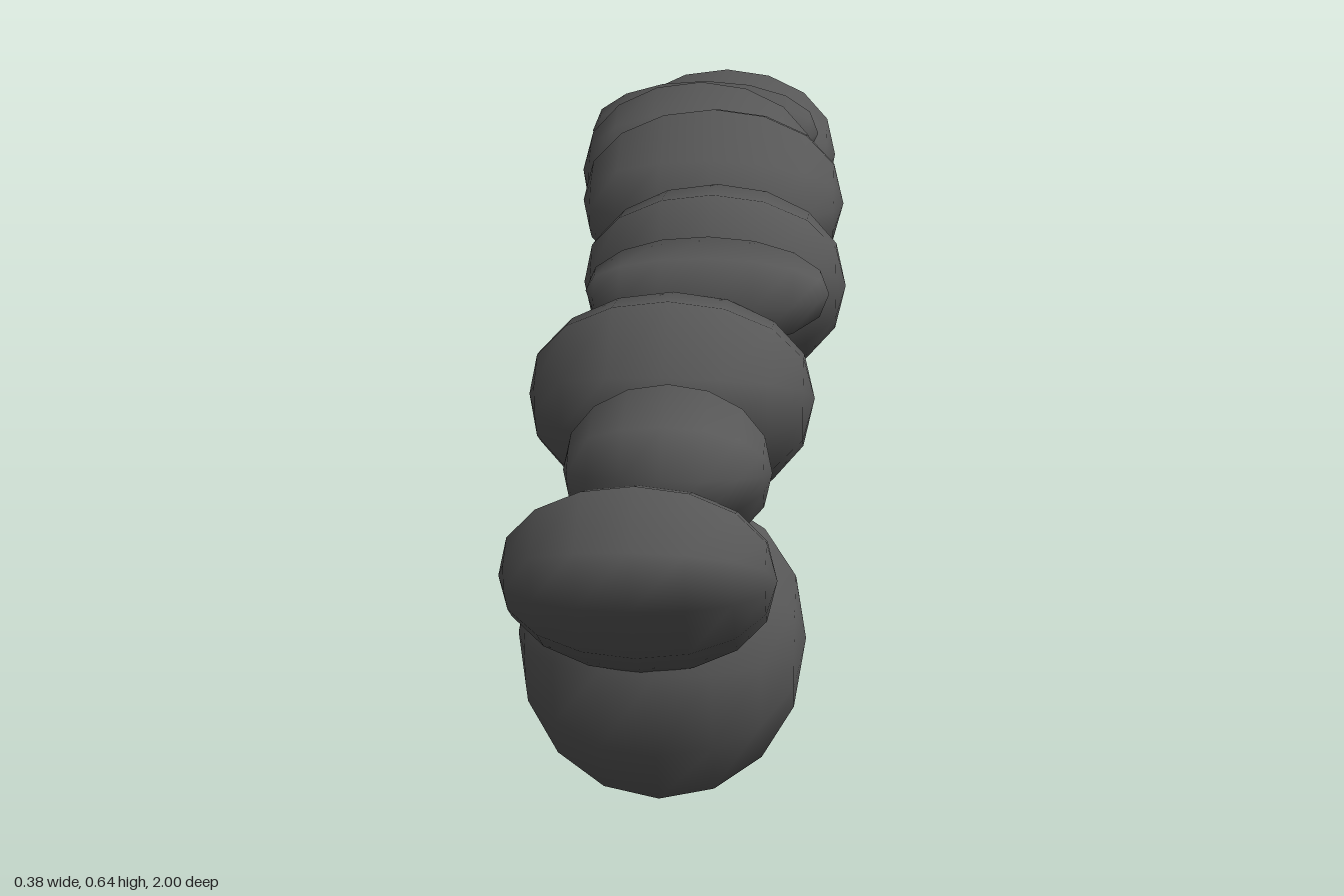
import * as THREE from 'three';
import { mergeVertices } from 'three/addons/utils/BufferGeometryUtils.js';

const SLICES = 8;

// A worn boulder: its side outline, as [z, y] points, swells from a point at
// x[0] to full size halfway and shrinks back to a point at x[1].
function boulder(x, outline) {
  const ring = outline.map(([z, y]) => new THREE.Vector2(z, y));
  if (THREE.ShapeUtils.area(ring) > 0) ring.reverse();
  const n = ring.length;
  const centre = new THREE.Vector2();
  ring.forEach((p) => centre.addScaledVector(p, 1 / n));

  const positions = [], index = [];
  for (let i = 0; i <= SLICES; i++) {
    const phi = (i / SLICES) * Math.PI;
    const size = Math.max(0, Math.sin(phi)) ** 0.9;
    const px = (x[0] + x[1]) / 2 - Math.cos(phi) * (x[1] - x[0]) / 2;
    for (let j = 0; j < n; j++) {
      const p = centre.clone().lerp(ring[j], size);
      positions.push(px, p.y, p.x);
      if (i === SLICES) continue;
      const a = i * n + j, b = i * n + (j + 1) % n;
      if (i > 0) index.push(a, b, a + n);
      if (i < SLICES - 1) index.push(b, b + n, a + n);
    }
  }
  let geo = new THREE.BufferGeometry();
  geo.setAttribute('position', new THREE.Float32BufferAttribute(positions, 3));
  geo.setIndex(index);
  geo = mergeVertices(geo, 1e-4);
  geo.computeVertexNormals();
  return geo;
}

export function createModel() {
  const group = new THREE.Group();
  group.name = 'rockArch';
  const stone = new THREE.MeshStandardMaterial({ color: 0x575757 });
  stone.name = 'darkStone';

  const addRock = (name, x, outline) => {
    const mesh = new THREE.Mesh(boulder(x, outline), stone);
    mesh.name = name;
    group.add(mesh);
  };

  // front leg of the arch
  addRock('frontFootRock', [-0.19, 0.15],
    [[0.66, 0.35], [0.58, 0.31], [0.55, 0.25], [0.6, 0.12], [0.69, 0.01], [0.77, 0], [0.82, 0.08], [0.84, 0.19], [0.77, 0.29]]);
  addRock('frontEndRock', [-0.19, 0.12],
    [[1, 0.41], [0.91, 0.45], [0.83, 0.42], [0.74, 0.33], [0.76, 0.22], [0.83, 0.19], [0.92, 0.25], [1, 0.34]]);
  addRock('frontShoulderRock', [-0.13, 0.11],
    [[0.87, 0.44], [0.82, 0.485], [0.72, 0.5], [0.63, 0.45], [0.6, 0.35], [0.66, 0.29], [0.76, 0.31], [0.84, 0.38]]);
  addRock('frontHaunchRock', [-0.19, 0.155],
    [[0.7, 0.5], [0.6, 0.56], [0.5, 0.54], [0.38, 0.46], [0.355, 0.4], [0.42, 0.295], [0.54, 0.275], [0.64, 0.33], [0.7, 0.42]]);
  addRock('frontWedgeRock', [-0.13, 0.17],
    [[0.51, 0.52], [0.46, 0.57], [0.4, 0.58], [0.365, 0.52], [0.39, 0.46], [0.47, 0.46]]);

  // crown
  addRock('frontCrownRock', [-0.15, 0.19],
    [[0.38, 0.54], [0.3, 0.605], [0.16, 0.58], [0.08, 0.52], [0.08, 0.42], [0.16, 0.35], [0.25, 0.335], [0.33, 0.39], [0.375, 0.46]]);
  addRock('keyRock', [-0.17, 0.185],
    [[0.17, 0.53], [0.12, 0.6], [0, 0.64], [-0.1, 0.615], [-0.14, 0.55], [-0.125, 0.43], [-0.02, 0.4], [0.1, 0.415], [0.165, 0.46]]);
  addRock('backCrownRock', [-0.195, 0.145],
    [[-0.12, 0.54], [-0.2, 0.585], [-0.3, 0.605], [-0.38, 0.575], [-0.4, 0.5], [-0.35, 0.4], [-0.24, 0.335], [-0.15, 0.37], [-0.1, 0.45]]);

  // back leg of the arch
  addRock('backWedgeRock', [-0.195, 0.145],
    [[-0.335, 0.5], [-0.37, 0.56], [-0.43, 0.575], [-0.5, 0.52], [-0.475, 0.47], [-0.41, 0.435], [-0.35, 0.45]]);
  addRock('backHaunchRock', [-0.17, 0.17],
    [[-0.345, 0.41], [-0.42, 0.5], [-0.5, 0.535], [-0.59, 0.555], [-0.68, 0.52], [-0.7, 0.45], [-0.66, 0.35], [-0.58, 0.28], [-0.45, 0.29]]);
  addRock('backShoulderRock', [-0.17, 0.145],
    [[-0.62, 0.42], [-0.66, 0.49], [-0.76, 0.51], [-0.85, 0.46], [-0.87, 0.4], [-0.8, 0.31], [-0.7, 0.28], [-0.64, 0.32]]);
  addRock('backEndRock', [-0.155, 0.155],
    [[-1, 0.41], [-0.93, 0.445], [-0.85, 0.415], [-0.76, 0.32], [-0.75, 0.24], [-0.82, 0.195], [-0.91, 0.24], [-1, 0.35]]);
  addRock('backFootRock', [-0.17, 0.15],
    [[-0.455, 0.3], [-0.46, 0.2], [-0.52, 0.09], [-0.57, 0.045], [-0.65, 0.035], [-0.785, 0.075], [-0.81, 0.16], [-0.76, 0.26], [-0.66, 0.33], [-0.55, 0.36]]);

  return group;
}
